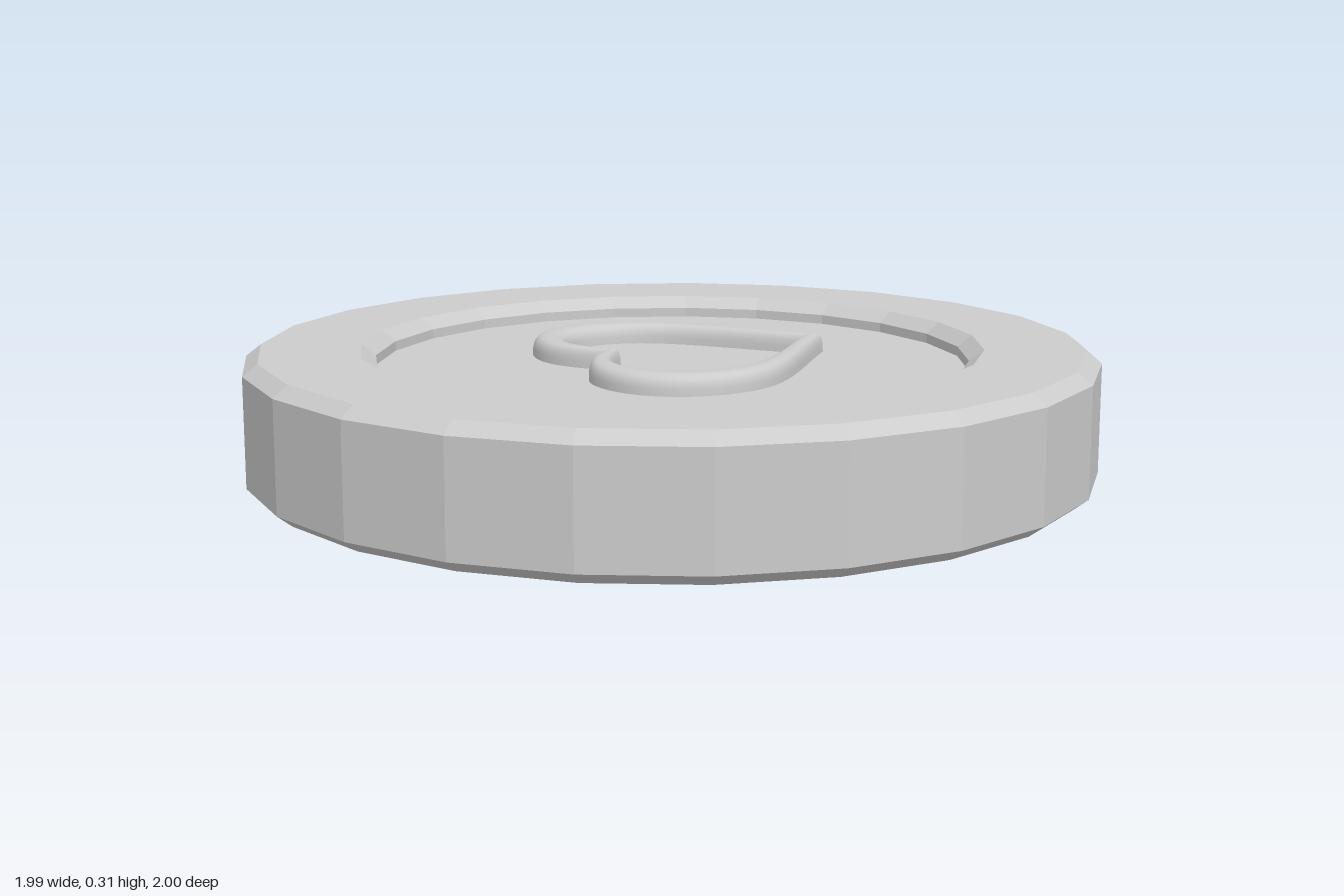
import * as THREE from 'three';

const SIDES = 23;
const HALF = 0.156;        // half thickness of the disc
const FLOOR = HALF - 0.05; // recess floor, measured from the mid plane

// One half of a heart outline (z > 0), from the notch to the tip
function halfOutline(p) {
  const v = p.map(([x, z]) => new THREE.Vector2(x, z));
  const path = new THREE.CurvePath();
  for (let i = 0; i + 3 < v.length; i += 3) {
    path.add(new THREE.CubicBezierCurve(v[i], v[i + 1], v[i + 2], v[i + 3]));
  }
  const pts = [];
  path.curves.forEach((c, i) => pts.push(...c.getPoints(14).slice(i ? 1 : 0)));
  return pts;
}

const outer = halfOutline([
  [-0.18, 0], [-0.235, 0.045], [-0.275, 0.11], [-0.272, 0.18],
  [-0.27, 0.3], [-0.18, 0.388], [-0.06, 0.388],
  [0.12, 0.388], [0.2, 0.23], [0.4, 0]]);
const inner = halfOutline([
  [-0.135, 0], [-0.17, 0.04], [-0.205, 0.09], [-0.2, 0.155],
  [-0.195, 0.24], [-0.13, 0.305], [-0.04, 0.305],
  [0.09, 0.305], [0.17, 0.185], [0.335, 0]]);

// Rounded ridge lofted between the inner and outer outlines, one half per call
function ridgeHalf(side) {
  const steps = 14, height = 0.048, e = 0.7;
  const pos = [], idx = [], row = steps + 1;
  const order = outer.map((_, i) => (side > 0 ? i : outer.length - 1 - i));
  for (const i of order) {
    for (let j = 0; j <= steps; j++) {
      const a = Math.PI * j / steps, c = Math.cos(a);
      const k = 0.5 - 0.5 * Math.sign(c) * Math.abs(c) ** e;
      const h = height * Math.max(0, Math.sin(a)) ** e;
      const p = inner[i].clone().lerp(outer[i], k);
      pos.push(p.x, FLOOR + h, side * p.y);
    }
  }
  for (let i = 0; i < order.length - 1; i++) {
    for (let j = 0; j < steps; j++) {
      const a = i * row + j, b = a + row;
      idx.push(a, a + 1, b, a + 1, b + 1, b);
    }
  }
  const g = new THREE.BufferGeometry();
  g.setAttribute('position', new THREE.Float32BufferAttribute(pos, 3));
  g.setIndex(idx);
  g.computeVertexNormals();
  return g;
}

export function createModel() {
  const model = new THREE.Group();
  model.name = 'heartToken';
  const flat = new THREE.MeshStandardMaterial({ color: 0xcccccc, flatShading: true });
  const smooth = new THREE.MeshStandardMaterial({ color: 0xcccccc });

  // Chamfered disc with a stepped recess on both faces
  const upper = [
    [1.002, HALF - 0.027], [0.967, HALF], [0.732, HALF],
    [0.697, HALF - 0.027], [0.697, FLOOR], [0, FLOOR]];
  const lower = upper.map(([r, y]) => [r, -y]).reverse();
  const profile = [...lower, ...upper].map(([r, y]) => new THREE.Vector2(r, y));
  const disc = new THREE.Mesh(new THREE.LatheGeometry(profile, SIDES), flat);
  disc.name = 'disc';
  disc.rotation.y = Math.PI / 2;
  disc.position.set(-0.005, HALF, 0);
  model.add(disc);

  // Raised heart outline on each face
  for (const [name, turn] of [['topHeart', 0], ['bottomHeart', Math.PI]]) {
    const heart = new THREE.Group();
    heart.name = name;
    for (const side of [1, -1]) {
      const half = new THREE.Mesh(ridgeHalf(side), smooth);
      half.name = side > 0 ? 'heartFrontHalf' : 'heartBackHalf';
      heart.add(half);
    }
    heart.rotation.x = turn;
    heart.position.y = HALF;
    model.add(heart);
  }
  return model;
}
